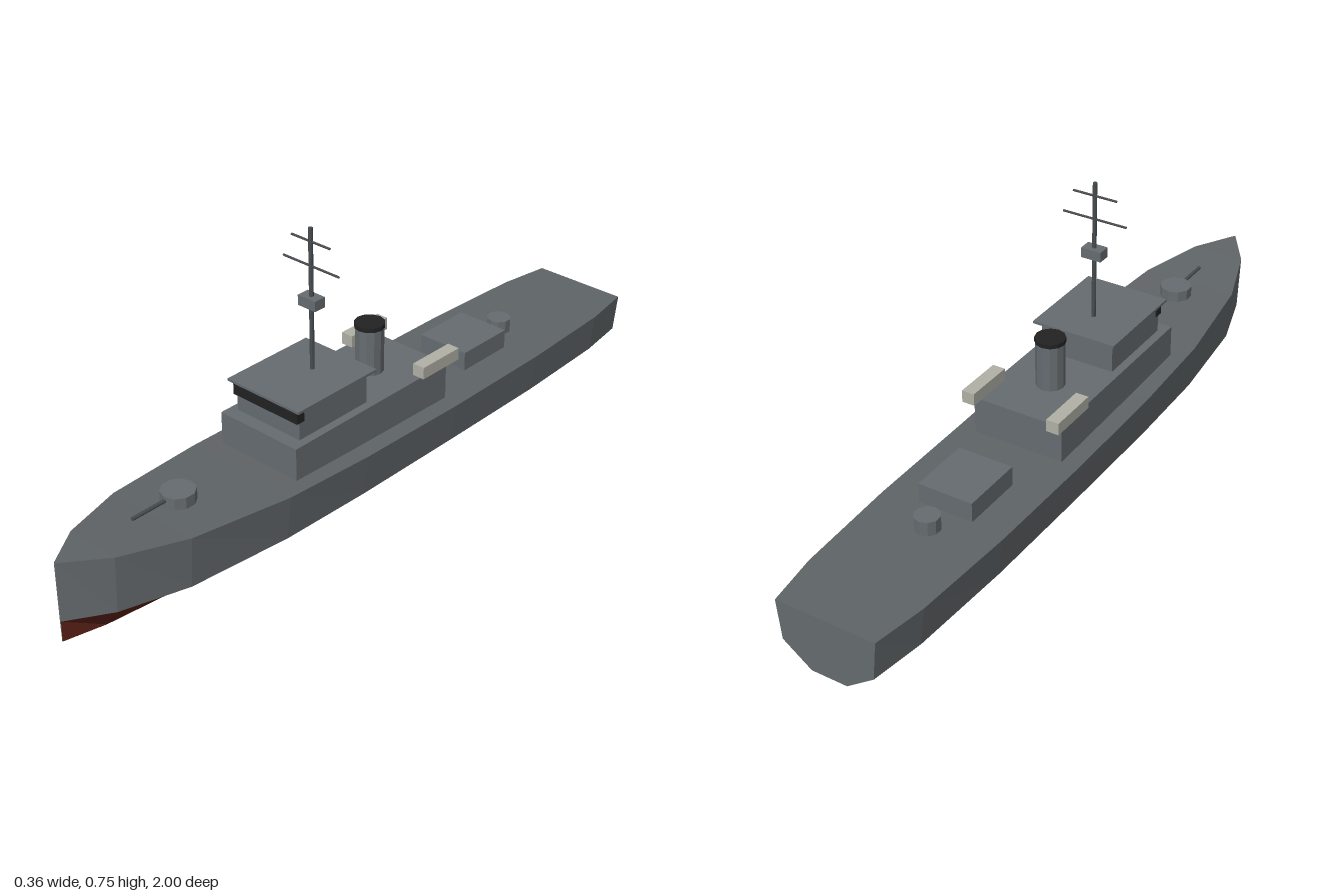
import * as THREE from 'three';

const mat = (name, color) => {
  const m = new THREE.MeshStandardMaterial({ color });
  m.name = name;
  return m;
};

export function createModel() {
  const ship = new THREE.Group();
  ship.name = 'patrolShip';

  const hullGrey = mat('hull grey', 0x656a6d);
  const deckGrey = mat('deck grey', 0x5f6467);
  const houseGrey = mat('superstructure grey', 0x666c70);
  const red = mat('antifouling red', 0x5c2219);
  const black = mat('black', 0x222222);
  const mastGrey = mat('mast grey', 0x484c50);
  const boatGrey = mat('boat pale grey', 0xb0b0a6);
  for (const m of [hullGrey, houseGrey, black, mastGrey]) m.flatShading = true;

  const add = (name, geometry, material, x = 0, y = 0, z = 0) => {
    const mesh = new THREE.Mesh(geometry, material);
    mesh.name = name;
    mesh.position.set(x, y, z);
    ship.add(mesh);
    return mesh;
  };
  // Box given by its half width and its y and z limits
  const box = (name, material, halfW, y0, y1, z0, z1, x = 0) =>
    add(name, new THREE.BoxGeometry(halfW * 2, y1 - y0, z1 - z0), material, x, (y0 + y1) / 2, (z0 + z1) / 2);
  // Upright cylinder
  const post = (name, material, r, y0, y1, z, sides) =>
    add(name, new THREE.CylinderGeometry(r, r, y1 - y0, sides), material, 0, (y0 + y1) / 2, z);

  // Hull stations from stern to bow: z, deck half width, deck height
  const stations = [
    [-1, 0.14, 0.168], [-0.85, 0.163, 0.168], [-0.55, 0.177, 0.168], [-0.2, 0.18, 0.168],
    [0.15, 0.18, 0.175], [0.42, 0.172, 0.184], [0.71, 0.138, 0.202], [0.89, 0.077, 0.215],
    [1, 0.002, 0.222],
  ];
  const rings = stations.map(([z, w, h]) => [
    [-w, h, z], [-w * 0.92, 0.058, z], [-w * 0.36, 0, z],
    [w * 0.36, 0, z], [w * 0.92, 0.058, z], [w, h, z],
  ]);
  // Skin the chosen ring segments between neighbouring stations
  const skin = (segments, caps = false) => {
    const v = [];
    const tri = (...corners) => corners.forEach((c) => v.push(...c));
    for (let s = 0; s < rings.length - 1; s++) {
      for (const i of segments) {
        const j = (i + 1) % 6;
        const [a, b, c, d] = [rings[s][i], rings[s][j], rings[s + 1][j], rings[s + 1][i]];
        tri(a, b, c);
        tri(a, c, d);
      }
    }
    if (caps) {
      const stern = rings[0], bow = rings[rings.length - 1];
      for (let i = 1; i < 5; i++) {
        tri(stern[0], stern[i + 1], stern[i]);
        tri(bow[0], bow[i], bow[i + 1]);
      }
    }
    const g = new THREE.BufferGeometry();
    g.setAttribute('position', new THREE.Float32BufferAttribute(v, 3));
    g.computeVertexNormals();
    return g;
  };
  add('hullSides', skin([0, 4], true), hullGrey);
  add('hullBottom', skin([1, 2, 3]), red);
  add('deck', skin([5]), deckGrey);

  // Deckhouse and bridge
  box('deckhouse', houseGrey, 0.13, 0.16, 0.272, -0.212, 0.356);
  box('bridge', houseGrey, 0.107, 0.272, 0.358, 0.075, 0.32);
  box('bridgeWindows', black, 0.11, 0.322, 0.356, 0.305, 0.33);
  box('bridgeRoof', houseGrey, 0.122, 0.358, 0.365, 0.055, 0.337);

  // Mast with yards and a lookout box
  post('mast', mastGrey, 0.006, 0.362, 0.755, 0.16, 8);
  box('lookoutBox', houseGrey, 0.029, 0.542, 0.57, 0.142, 0.178);
  for (const [y, halfW] of [[0.652, 0.093], [0.718, 0.064]]) {
    const yard = add('yard', new THREE.CylinderGeometry(0.003, 0.003, halfW * 2, 6), mastGrey, 0, y, 0.16);
    yard.rotation.z = Math.PI / 2;
  }

  // Funnel
  post('funnel', houseGrey, 0.039, 0.27, 0.402, -0.055, 12);
  post('funnelCap', black, 0.041, 0.4, 0.412, -0.055, 12);

  // Boats on both sides
  for (const side of [-1, 1]) box('boat', boatGrey, 0.018, 0.274, 0.308, -0.247, -0.105, side * 0.125);

  // Forward gun
  post('foreGunMount', houseGrey, 0.045, 0.203, 0.234, 0.625, 10);
  const barrel = add('foreGunBarrel', new THREE.CylinderGeometry(0.005, 0.005, 0.12, 8), mastGrey, 0, 0.222, 0.71);
  barrel.rotation.x = Math.PI / 2;

  // Aft house and aft gun mount
  box('aftHouse', houseGrey, 0.078, 0.166, 0.222, -0.533, -0.357);
  post('aftGunMount', houseGrey, 0.034, 0.166, 0.207, -0.606, 10);

  return ship;
}
